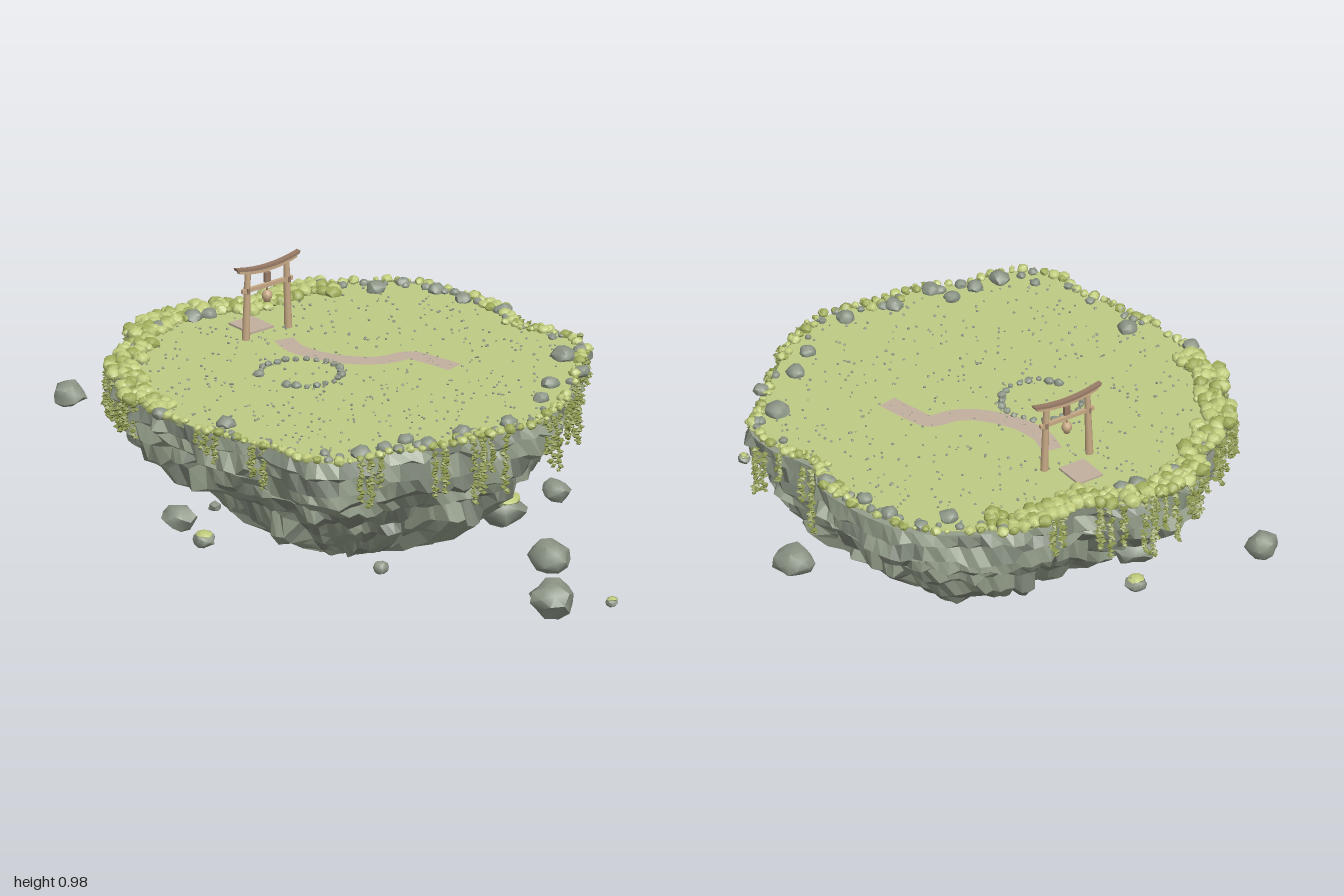
import * as THREE from 'three';
import { mergeGeometries, toCreasedNormals } from 'three/addons/utils/BufferGeometryUtils.js';

const mat = (name, color, extra = {}) => {
  const m = new THREE.MeshStandardMaterial({ color, ...extra });
  m.name = name;
  return m;
};

export function createModel() {
  const flatShading = true;
  const M = {
    grass: mat('grass', 0xbdcb84),
    rock: mat('rock', 0x959f8b, { flatShading }),
    rockDark: mat('dark rock', 0x80887a, { flatShading }),
    boulder: mat('boulder', 0x8c9586),
    moss: mat('moss', 0xbfcb7c),
    mossDark: mat('dark moss', 0x9fac5a),
    vine: mat('vine', 0x87924a, { flatShading }),
    path: mat('path', 0xc2b09e, { side: THREE.DoubleSide }),
    wood: mat('wood', 0xc8aa86),
    woodDark: mat('dark wood', 0x987b67, { flatShading }),
  };
  const root = new THREE.Group();
  root.name = 'floatingIsland';
  const TOP = 0.711, CX = 0.02;

  let seed = 7;
  const rnd = (a = 0, b = 1) => {
    seed = (seed * 16807) % 2147483647;
    return a + (b - a) * (seed / 2147483647);
  };
  const hash = (a, b, c = 0) => {
    const s = Math.sin(a * 127.1 + b * 311.7 + c * 74.7) * 43758.5453;
    return s - Math.floor(s);
  };
  const inside = (a, lo, hi) => a > lo && a < hi;
  const add = (parent, name, geo, m, x = 0, y = 0, z = 0) => {
    const mesh = new THREE.Mesh(geo, m);
    mesh.name = name;
    mesh.position.set(x, y, z);
    parent.add(mesh);
    return mesh;
  };

  // Island outline seen from above (x, z), starting at the left side
  const outlineXZ = [
    .79, 0, .77, .24, .71, .39, .54, .53, .43, .63, .27, .71, .16, .80, .08, .83, -.02, .80, -.13, .72, -.26, .66,
    -.40, .58, -.55, .46, -.67, .34, -.72, .19, -.77, .08, -.74, -.13, -.75, -.24, -.68, -.39, -.55, -.52, -.40, -.55,
    -.32, -.66, -.21, -.76, -.08, -.82, .11, -.85, .27, -.80, .40, -.72, .5, -.63, .54, -.53, .70, -.45, .80, -.34, .78, -.21, .79, -.1];
  const pts = [];
  for (let i = 0; i < outlineXZ.length; i += 2) pts.push(new THREE.Vector3(outlineXZ[i], 0, outlineXZ[i + 1]));
  const N = 132;
  const rim = new THREE.CatmullRomCurve3(pts, true).getSpacedPoints(N).slice(0, N);
  const at = (p, f) => [CX + (p.x - CX) * f, p.z * f];
  const angleOf = (p) => (Math.atan2(p.z, p.x) * 180 / Math.PI + 360) % 360;
  const rimAt = (deg) => rim.reduce((best, p) => {
    const d = (q) => Math.abs(((angleOf(q) - deg + 540) % 360) - 180);
    return d(p) < d(best) ? p : best;
  });
  // The grass stops short of the rock edge along the back
  const grassEdge = (p) => (inside(angleOf(p), 258, 335) ? .955 : .985);

  // Rock body: stacked ledges broken into blocks, narrowing to a point with radial ridges
  const rings = [[.708, .985], [.665, 1.0], [.652, .97], [.6, .985], [.585, .93], [.535, .93], [.515, .89], [.47, .86], [.445, .78],
    [.395, .74], [.36, .66], [.31, .6], [.265, .53], [.215, .44], [.16, .31], [.105, .16], [.06, 0]];
  const ringPts = rings.map(([y, f], i) => rim.map((p, j) => {
    const layer = Math.floor((i + 1) / 2);
    const block = Math.floor(((j + layer * 2) % N) / (3 + layer % 3));
    const low = THREE.MathUtils.smoothstep(.6 - y, 0, .4);
    const blocky = (hash(block, layer) - .5) * (.045 + .07 * low + (i > 5 ? .04 : 0));
    const ridge = (hash(Math.floor(j / 3), 9) - .5) * .16 * low + (hash(j, 3, layer) - .5) * .035;
    const bulge = THREE.MathUtils.smoothstep(.5 - y, 0, .28) * .24 * Math.max(0, Math.cos((angleOf(p) - 325) * Math.PI / 180));
    const [x, z] = at(p, f * (1 + (i ? blocky + ridge + bulge : 0)));
    const wobble = i > 4 ? .055 : .03;
    const dy = i && i < rings.length - 1 ? (hash(block, layer, 5) - .5) * wobble + (hash(j, i, 2) - .5) * .016 : 0;
    return [x, y + dy * (y < .15 ? .5 : 1), z];
  }));
  const light = [], dark = [];
  for (let i = 0; i < rings.length - 1; i++) {
    for (let j = 0; j < N; j++) {
      const n = (j + 1) % N, a = ringPts[i][j], b = ringPts[i][n], c = ringPts[i + 1][j], d = ringPts[i + 1][n];
      const out = hash(Math.floor(j / 3), i, 8) < .3 ? dark : light;
      out.push(...a, ...b, ...c);
      if (i < rings.length - 2) out.push(...b, ...d, ...c);
    }
  }
  const faces = (arr) => {
    const g = new THREE.BufferGeometry();
    g.setAttribute('position', new THREE.Float32BufferAttribute(arr, 3));
    g.computeVertexNormals();
    return g;
  };
  add(root, 'rockBody', faces(light), M.rock);
  add(root, 'rockBodyDarkFacets', faces(dark), M.rockDark);

  // Flat rock shelf under the grass, and the grass plate
  const plate = (edge, depth) => {
    const s = new THREE.Shape(rim.map((p) => { const [x, z] = at(p, edge(p)); return new THREE.Vector2(x, -z); }));
    return new THREE.ExtrudeGeometry(s, { depth, bevelEnabled: false }).rotateX(-Math.PI / 2);
  };
  add(root, 'rockShelf', plate(() => .985, .01), M.rock, 0, .698, 0);
  add(root, 'grassTop', plate(grassEdge, .018), M.grass, 0, TOP - .018, 0);

  // Irregular stone or leaf clump
  const lump = (r, x, y, z, { detail = 1, flat = .8, rough = .3 } = {}) => {
    const g = new THREE.IcosahedronGeometry(r, detail), p = g.attributes.position, s = rnd(0, 50);
    for (let i = 0; i < p.count; i++) {
      const q = [0, 1, 2].map((k) => Math.round(p.getComponent(i, k) / r * 100));
      const k = 1 + (hash(q[0] + s, q[1], q[2]) - .5) * rough;
      p.setXYZ(i, p.getX(i) * k, p.getY(i) * k * flat, p.getZ(i) * k);
    }
    return toCreasedNormals(g.rotateY(rnd(0, 6.28)).translate(x, y, z), .9);
  };

  // Moss bushes along the rim, thickest on the right and back
  const bushes = [[], []];
  for (let i = 0; i < 950; i++) {
    const p = rim[Math.floor(rnd(0, N))], a = angleOf(p);
    const dense = inside(a, 140, 262);
    const medium = inside(a, 22, 55) || inside(a, 300, 325);
    if (rnd() > (dense ? 1 : medium ? .75 : .28)) continue;
    const r = dense ? rnd(.012, .03) : rnd(.008, .02);
    const [x, z] = at(p, grassEdge(p) + .018 - rnd() * (dense ? .13 : medium ? .06 : .03));
    bushes[rnd() < .7 ? 0 : 1].push(lump(r, x, TOP + .006, z, { flat: .85, rough: .3 }));
  }
  add(root, 'mossBushes', mergeGeometries(bushes[0]), M.moss);
  add(root, 'darkMossBushes', mergeGeometries(bushes[1]), M.mossDark);

  // Boulders on the rim
  const boulders = [[.02, -.73, .035], [.22, -.75, .03], [.32, -.68, .028], [.72, -.22, .04], [.71, .03, .032], [.7, .16, .028],
    [.38, .62, .03], [.17, .735, .034], [-.31, .53, .034], [-.54, .47, .028], [-.55, -.4, .034], [-.65, -.29, .028], [-.5, -.43, .028],
    [.62, .39, .03], [.48, .5, .032], [.3, .59, .028], [.8, -.1, .026], [.1, -.8, .024], [.47, -.6, .028], [.05, .74, .018], [.24, .67, .028]]
    .map(([x, z, r]) => lump(r, x, TOP + r * .2, z));
  for (let i = 0; i < 75; i++) {
    const p = rim[Math.floor(rnd(0, N))], [x, z] = at(p, grassEdge(p) - rnd(0, .05));
    boulders.push(lump(rnd(.01, .021), x, TOP + .005, z));
  }
  add(root, 'rimBoulders', mergeGeometries(boulders), M.boulder);

  // Small pebbles scattered on the grass
  const pebbles = [];
  for (let i = 0; i < 520; i++) {
    const [x, z] = at(rim[Math.floor(rnd(0, N))], Math.sqrt(rnd()) * .92);
    pebbles.push(lump(rnd(.003, .006), x, TOP + .002, z, { detail: 0 }));
  }
  add(root, 'pebbles', mergeGeometries(pebbles), M.boulder);

  // Ring of stones with a gap
  const ring = [];
  for (let i = 0; i < 24; i++) {
    const a = i / 24 * Math.PI * 2, k = rnd(.94, 1.04);
    if (inside(i, 7, 11)) continue;
    ring.push(lump(rnd(.009, .018), -.125 + Math.cos(a) * .137 * k, TOP + .005, .04 + Math.sin(a) * .125 * k));
  }
  add(root, 'stoneRing', mergeGeometries(ring), M.boulder);

  // Hanging vines: clusters of leafy strands, [direction in degrees, length, strands]
  const leaves = [];
  const clusters = [[1, .22, 4], [10, .16, 4], [22, .2, 4], [43, .24, 5], [55, .18, 3], [75, .17, 4], [104, .17, 4], [121, .1, 4],
    [152, .12, 4], [168, .17, 5], [176, .21, 5], [186, .18, 5], [203, .16, 5], [215, .22, 5], [228, .2, 5], [243, .16, 4],
    [314, .25, 4], [328, .2, 4], [346, .2, 4]];
  for (const [deg, len, strands] of clusters) {
    for (let s = 0; s < strands; s++) {
      const [x, z] = at(rimAt(deg + (s - strands / 2 + .5) * 1.6 + rnd(-.6, .6)), rnd(.99, 1.025));
      const L = len * rnd(.45, 1.05);
      for (let d = 0; d < L; d += .01) {
        const g = new THREE.OctahedronGeometry(rnd(.01, .016), 0);
        g.scale(1, .6, 1).rotateY(rnd(0, 3)).rotateZ(rnd(-.6, .6));
        leaves.push(g.translate(x + rnd(-.008, .008), .705 - d, z + rnd(-.008, .008)));
      }
    }
  }
  add(root, 'vines', mergeGeometries(leaves), M.vine);

  // Floating rocks [x, y, z, radius, mossy]
  const floating = [[-.95, .465, -.29, .05], [.755, .062, .31, .07], [.97, .1, .41, .02, 1], [.72, .31, -.04, .045], [.54, .235, -.03, .07, 1],
    [.69, .05, -.09, .062], [.2, .2, .455, .026], [-.32, .5, .73, .02], [-.46, .075, -.02, .033, 1], [-.47, .28, -.11, .065, 1], [-.5, .27, .28, .05]];
  const caps = [];
  add(root, 'floatingRocks', mergeGeometries(floating.map(([x, y, z, r, mossy]) => {
    if (mossy) caps.push(lump(r * .88, x, y + r * .56, z, { flat: .36, rough: .15 }));
    return lump(r * 1.1, x, y, z, { flat: .78, rough: .36 });
  })), M.boulder);
  add(root, 'floatingRockMoss', mergeGeometries(caps), M.moss);

  // Winding path, laid flat on the grass
  const route = new THREE.CatmullRomCurve3([[-.225, -.25], [-.17, -.17], [-.06, -.11], [.07, -.095], [.14, -.115], [.21, -.165], [.29, -.13], [.375, -.08]]
    .map(([x, z]) => new THREE.Vector3(x, 0, z)));
  const ribbon = new THREE.PlaneGeometry(1, 1, 28, 1), rp = ribbon.attributes.position;
  for (let i = 0; i < rp.count; i++) {
    const t = rp.getX(i) + .5, side = rp.getY(i) * .07, p = route.getPoint(t), d = route.getTangent(t);
    rp.setXYZ(i, p.x + d.z * side, 0, p.z - d.x * side);
  }
  ribbon.computeVertexNormals();
  add(root, 'path', ribbon, M.path, 0, TOP + .004, 0);

  // Wooden gate
  const gate = new THREE.Group();
  gate.name = 'gate';
  gate.position.set(-.287, TOP, -.303);
  gate.rotation.y = .82;
  root.add(gate);
  for (const s of [-1, 1]) {
    const post = add(gate, 'post', new THREE.CylinderGeometry(.0105, .0135, .238, 12), M.wood, s * .087, .119, 0);
    post.rotation.z = s * .035;
    add(gate, 'wedge', new THREE.BoxGeometry(.01, .02, .024), M.woodDark, s * .087, .175, 0);
  }
  const curvedBeam = (half, y, thick, depth) => {
    const s = new THREE.Shape();
    s.moveTo(-half, y + .018);
    s.quadraticCurveTo(0, y - .018, half, y + .018);
    s.lineTo(half + .004, y + .018 + thick);
    s.quadraticCurveTo(0, y - .018 + thick, -half - .004, y + .018 + thick);
    return new THREE.ExtrudeGeometry(s, { depth, bevelEnabled: false, curveSegments: 10 }).translate(0, 0, -depth / 2);
  };
  add(gate, 'topBeam', curvedBeam(.132, .238, .01, .02), M.woodDark);
  add(gate, 'underBeam', curvedBeam(.122, .226, .012, .016), M.wood);
  add(gate, 'crossBeam', new THREE.BoxGeometry(.215, .014, .012), M.wood, 0, .175, 0);
  add(gate, 'centreStrut', new THREE.BoxGeometry(.022, .034, .012), M.woodDark, 0, .203, 0);

  // Hanging bell
  add(gate, 'bellRope', new THREE.CylinderGeometry(.003, .003, .02, 6), M.woodDark, 0, .161, 0);
  const bell = [[0, 0], [.011, 0], [.012, .006], [.017, .013], [.018, .022], [.015, .034], [.007, .04], [0, .04]].map(([x, y]) => new THREE.Vector2(x, y));
  add(gate, 'bell', new THREE.LatheGeometry(bell, 12), M.wood, 0, .116, 0);

  // Stone steps behind the gate
  for (let i = 0; i < 4; i++) {
    add(gate, 'step', new THREE.BoxGeometry(.1, .01, .0285), M.path, 0, .002, -.04 - i * .029);
  }
  return root;
}
